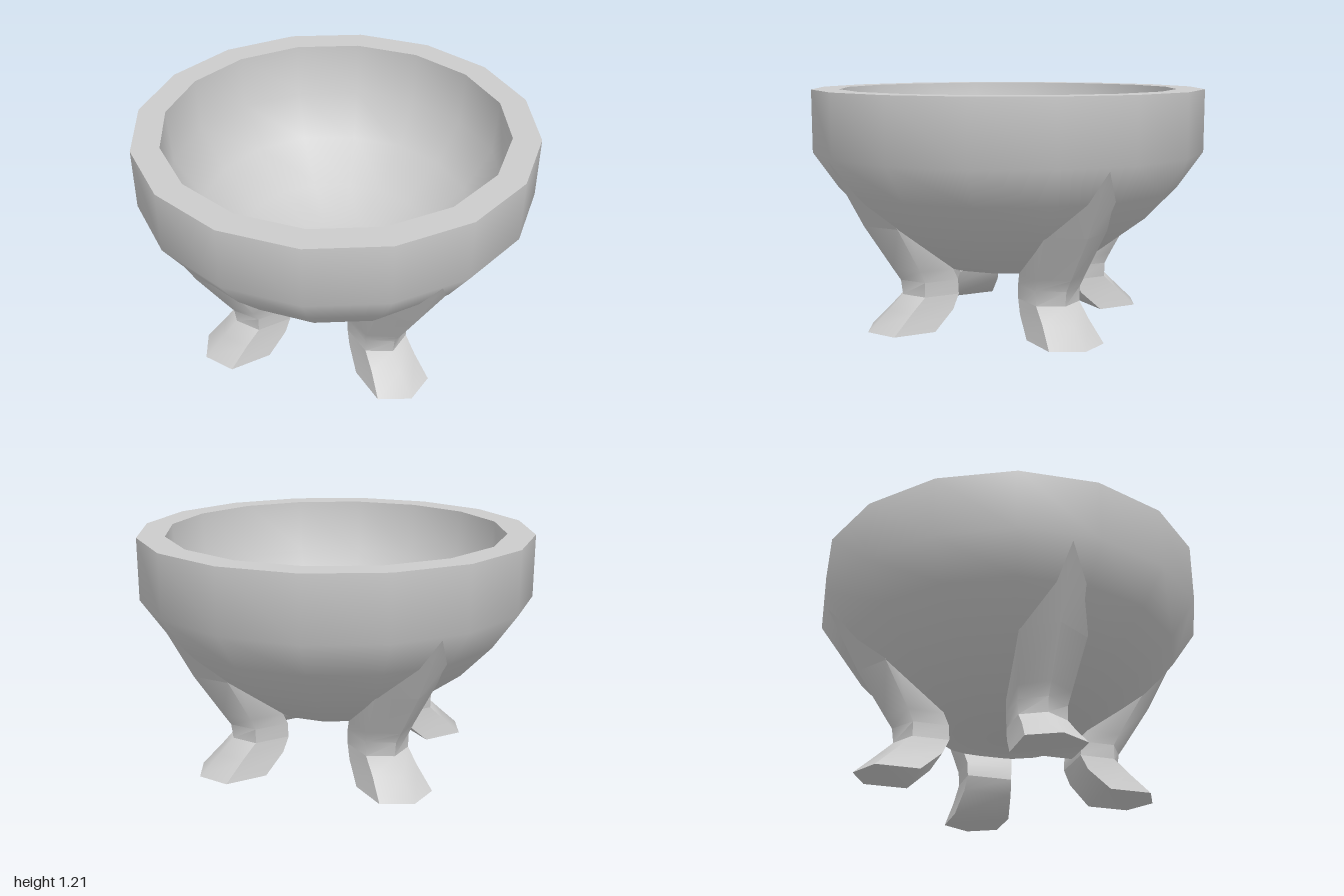
import * as THREE from 'three';
import { toCreasedNormals } from 'three/addons/utils/BufferGeometryUtils.js';

const material = new THREE.MeshStandardMaterial({ color: 0xcccccc });
const rad = THREE.MathUtils.degToRad;

// Loft of five-sided sections, listed from top to bottom:
// [y, half width, inner z, side edge z, middle ridge z]
function loft(sections, crease) {
  const pos = [], index = [], n = 5;
  for (const [y, w, inner, edge, ridge] of sections) {
    pos.push(-w, y, inner, w, y, inner, w, y, edge, 0, y, ridge, -w, y, edge);
  }
  for (let i = 0; i < sections.length - 1; i++) {
    for (let j = 0; j < n; j++) {
      const a = i * n + j, b = i * n + (j + 1) % n;
      index.push(a, b, b + n, a, b + n, a + n);
    }
  }
  const last = (sections.length - 1) * n;
  for (let j = 1; j < n - 1; j++) {
    index.push(0, j + 1, j, last, last + j, last + j + 1);
  }
  const geometry = new THREE.BufferGeometry();
  geometry.setAttribute('position', new THREE.Float32BufferAttribute(pos, 3));
  geometry.setIndex(index);
  return toCreasedNormals(geometry, rad(crease));
}

function addMesh(parent, geometry, name) {
  const mesh = new THREE.Mesh(geometry, material);
  mesh.name = name;
  parent.add(mesh);
}

export function createModel() {
  const model = new THREE.Group();
  model.name = 'footedBowl';

  // Thick-walled bowl: outside, flat rim, then inside down to the floor
  const profile = [
    [0, 0.25], [0.41, 0.31], [0.72, 0.54], [0.88, 0.71], [1.005, 0.89], [1.005, 1.205],
    [0.865, 1.205], [0.85, 0.92], [0.71, 0.7], [0.5, 0.52], [0.27, 0.42], [0, 0.39],
  ].map(([r, y]) => new THREE.Vector2(r, y));
  const bowl = new THREE.LatheGeometry(profile, 16, rad(7.4));
  addMesh(model, toCreasedNormals(bowl, rad(50)), 'bowl');

  // Legs grow out of the bowl wall and bend inward at the ankle
  const legGeometry = loft([
    [0.89, 0.2, 0.92, 0.95, 0.985],
    [0.54, 0.17, 0.63, 0.69, 0.8],
    [0.31, 0.135, 0.38, 0.56, 0.65],
    [0.25, 0.125, 0.35, 0.53, 0.61],
    [0.175, 0.122, 0.345, 0.53, 0.6],
  ], 58);

  // Feet flare outward to the ground
  const footGeometry = loft([
    [0.175, 0.122, 0.345, 0.53, 0.6],
    [0.1, 0.13, 0.38, 0.607, 0.68],
    [0, 0.152, 0.49, 0.71, 0.79],
  ], 58);

  ['front', 'left', 'back', 'right'].forEach((side, i) => {
    const leg = new THREE.Group();
    leg.name = side + 'Leg';
    leg.rotation.y = i * Math.PI / 2;
    addMesh(leg, legGeometry, side + 'UpperLeg');
    addMesh(leg, footGeometry, side + 'Foot');
    model.add(leg);
  });

  return model;
}
